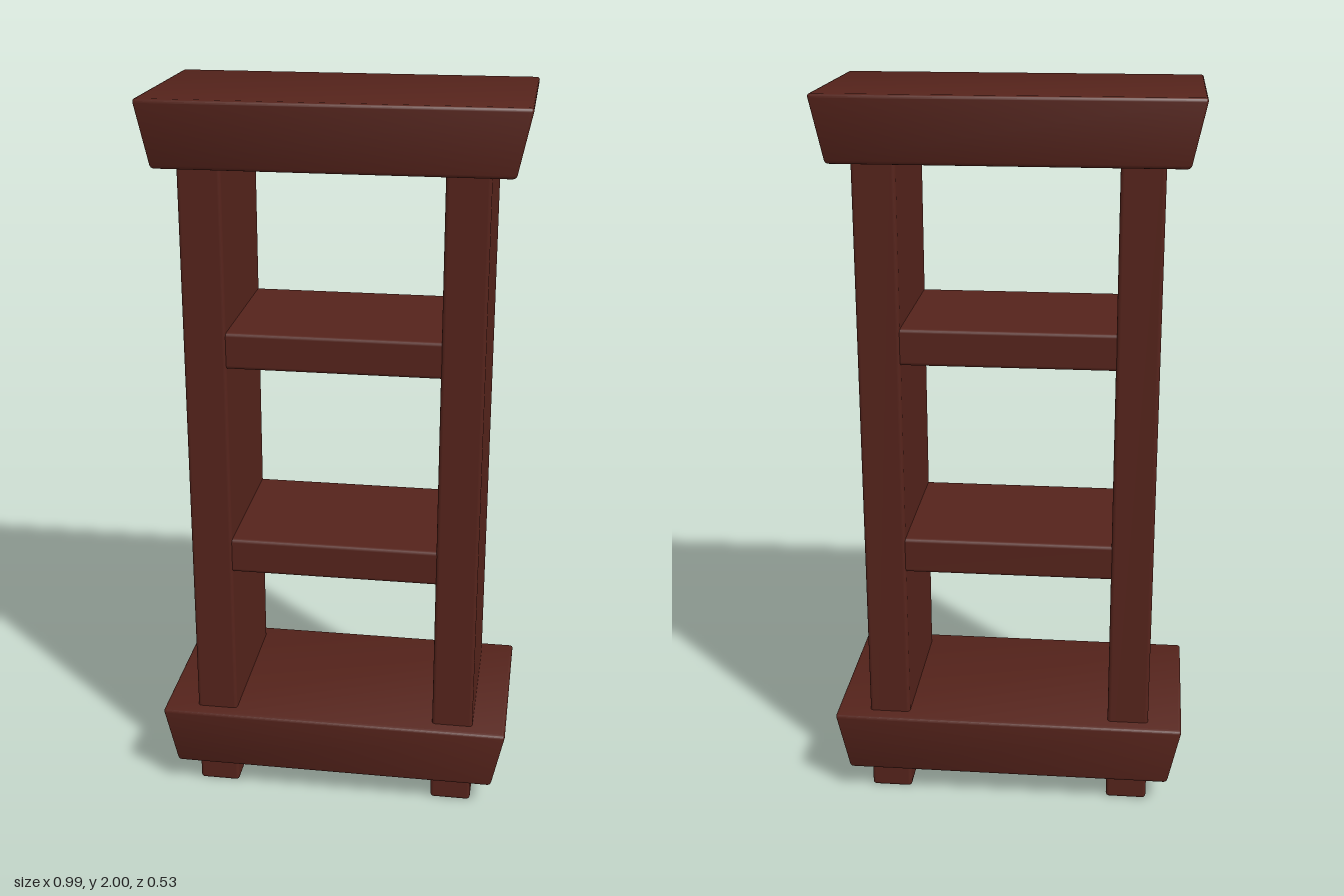
import * as THREE from 'three';
import { RoundedBoxGeometry } from 'three/addons/geometries/RoundedBoxGeometry.js';
import { toCreasedNormals } from 'three/addons/utils/BufferGeometryUtils.js';

const wood = new THREE.MeshStandardMaterial({ color: 0x55231b });

// Softly bevelled board between two heights; taperX / taperZ scale its underside
function board(name, width, depth, bottom, top, x = 0, taperX = 1, taperZ = 1) {
  const height = top - bottom;
  let geometry = new RoundedBoxGeometry(width, height, depth, 2, 0.01);
  if (taperX !== 1 || taperZ !== 1) {
    const p = geometry.attributes.position;
    for (let i = 0; i < p.count; i++) {
      const t = 0.5 - p.getY(i) / height;
      p.setX(i, p.getX(i) * (1 + (taperX - 1) * t));
      p.setZ(i, p.getZ(i) * (1 + (taperZ - 1) * t));
    }
    geometry = toCreasedNormals(geometry, 0.7);
  }
  const mesh = new THREE.Mesh(geometry, wood);
  mesh.name = name;
  mesh.position.set(x, (bottom + top) / 2, 0);
  return mesh;
}

export function createModel() {
  const model = new THREE.Group();
  model.name = 'shelfUnit';

  // Side panels run through the base and end as feet
  for (const [name, side] of [['leftPanel', 1], ['rightPanel', -1]]) {
    model.add(board(name, 0.115, 0.45, 0, 1.9, side * 0.342));
  }

  // Flared base and top slabs
  model.add(board('baseSlab', 0.992, 0.53, 0.075, 0.25, 0, 0.925, 0.965));
  model.add(board('topSlab', 0.992, 0.53, 1.825, 2, 0, 0.925, 0.965));

  // Shelves, let into the panels
  model.add(board('lowerShelf', 0.62, 0.44, 0.69, 0.79));
  model.add(board('upperShelf', 0.62, 0.44, 1.29, 1.39));

  return model;
}
